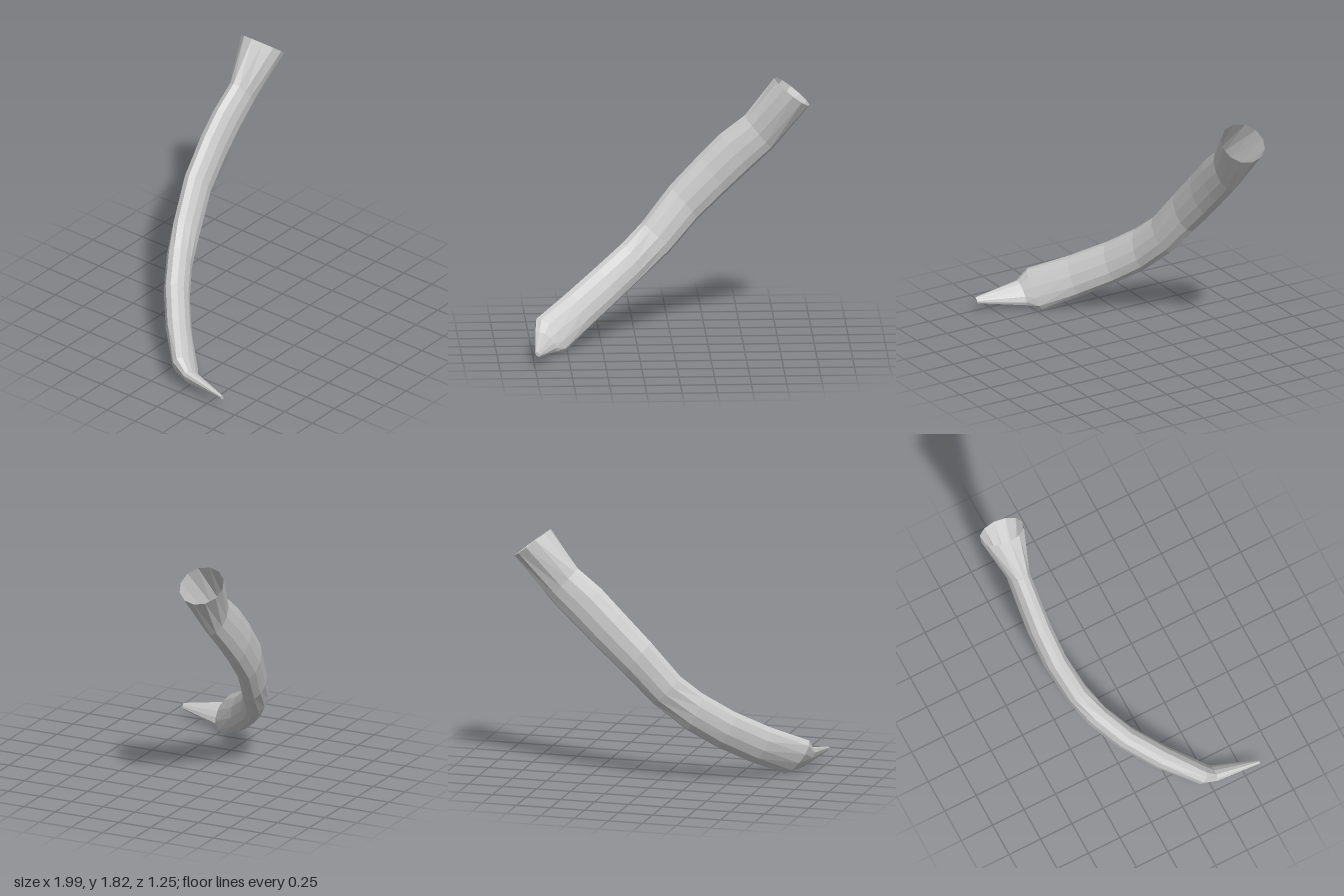
import * as THREE from 'three';

const SIDES = 12;

// Stations from open mouth to tip: upper edge x,y | lower edge x,y | centre z | half thickness
const STATIONS = [
  [0.74, 1.82, 0.99, 1.62, -0.46, 0.165],
  [0.53, 1.55, 0.73, 1.31, -0.46, 0.08],
  [0.36, 1.42, 0.57, 1.16, -0.465, 0.082],
  [0.21, 1.27, 0.40, 1.00, -0.465, 0.085],
  [0.00, 1.05, 0.20, 0.81, -0.445, 0.085],
  [-0.20, 0.80, 0.00, 0.59, -0.385, 0.085],
  [-0.34, 0.67, -0.22, 0.40, -0.31, 0.085],
  [-0.54, 0.52, -0.40, 0.26, -0.185, 0.085],
  [-0.75, 0.38, -0.60, 0.12, -0.005, 0.085],
  [-0.97, 0.25, -0.77, 0.005, 0.205, 0.075],
  [-0.98, 0.17, -0.84, 0.03, 0.29, 0.05],
  [-0.995, 0.108, -0.965, 0.072, 0.62, 0.012],
];

// Oval rings: the wide axis joins the two edges, the thin axis is square to it and the path
function makeRings() {
  const centres = STATIONS.map(([ax, ay, bx, by, z]) => new THREE.Vector3((ax + bx) / 2, (ay + by) / 2, z));
  return STATIONS.map(([ax, ay, bx, by, , thick], i) => {
    const u = new THREE.Vector3((ax - bx) / 2, (ay - by) / 2, 0);
    const last = centres.length - 1;
    // the mouth and the spike follow their own straight axes
    const from = i === 1 ? 1 : i >= last - 1 ? last - 1 : Math.max(i - 1, 0);
    const to = Math.min(i + 1, last);
    const t = centres[to].clone().sub(centres[from]);
    const v = t.cross(u).normalize().multiplyScalar(thick);
    return Array.from({ length: SIDES }, (_, j) => {
      const a = (j / SIDES) * Math.PI * 2;
      return centres[i].clone().addScaledVector(u, Math.cos(a)).addScaledVector(v, Math.sin(a));
    });
  });
}

// Faceted skin through consecutive rings, with an optional end cap
function loft(name, rings, material, capEnd = false) {
  const points = rings.flat();
  const index = [];
  for (let i = 0; i < rings.length - 1; i++) {
    for (let j = 0; j < SIDES; j++) {
      const k = (j + 1) % SIDES;
      const a = i * SIDES + j, b = i * SIDES + k;
      index.push(a, b, a + SIDES, b, b + SIDES, a + SIDES);
    }
  }
  if (capEnd) {
    const s = (rings.length - 1) * SIDES;
    for (let j = 1; j < SIDES - 1; j++) index.push(s, s + j, s + j + 1);
  }
  const indexed = new THREE.BufferGeometry().setFromPoints(points);
  indexed.setIndex(index);
  const geometry = indexed.toNonIndexed();
  geometry.computeVertexNormals();
  const mesh = new THREE.Mesh(geometry, material);
  mesh.name = name;
  return mesh;
}

export function createModel() {
  const group = new THREE.Group();
  group.name = 'curvedHorn';
  const material = new THREE.MeshStandardMaterial({
    color: 0xcccccc, flatShading: true, side: THREE.DoubleSide,
  });
  const rings = makeRings();
  group.add(
    loft('flaredMouth', rings.slice(0, 2), material),
    loft('curvedBody', rings.slice(1, 10), material),
    loft('shoulder', rings.slice(9, 11), material),
    loft('spikeTip', rings.slice(10), material, true),
  );
  return group;
}
